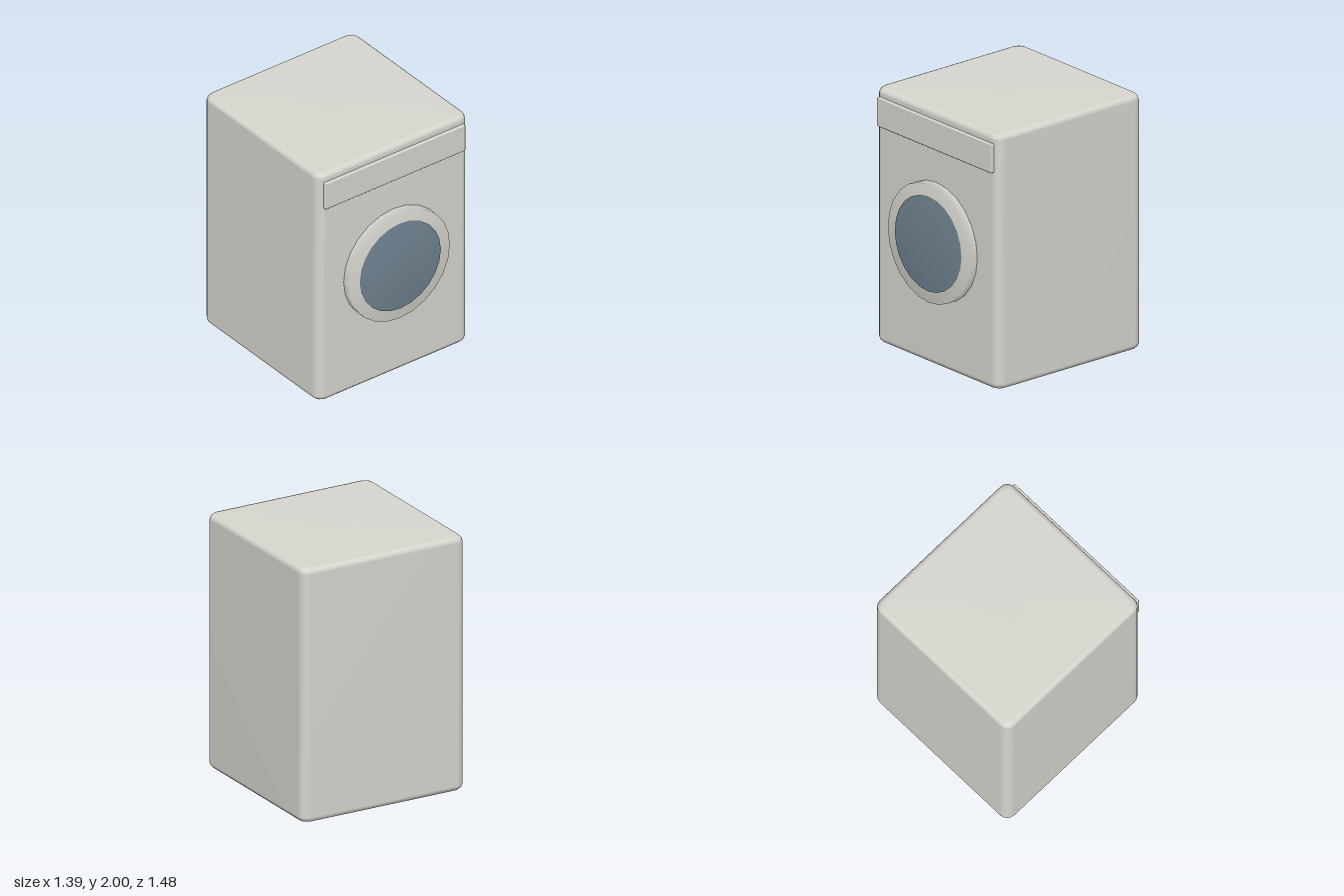
import * as THREE from 'three';
import { RoundedBoxGeometry } from 'three/addons/geometries/RoundedBoxGeometry.js';

const HALF = 0.697, BACK = -0.742, FRONT = 0.656, HEIGHT = 2;

// Rounded rectangle outline in the xz plane, inset from the full body size
function outline(inset, steps = 4) {
  const r = 0.075 - inset * 0.6, cz = (FRONT + BACK) / 2;
  const hx = HALF - inset - r, hz = (FRONT - BACK) / 2 - inset - r;
  const pts = [];
  [[1, 1], [-1, 1], [-1, -1], [1, -1]].forEach(([sx, sz], q) => {
    for (let i = 0; i <= steps; i++) {
      const a = (q + i / steps) * Math.PI / 2;
      pts.push([sx * hx + r * Math.cos(a), cz + sz * hz + r * Math.sin(a)]);
    }
  });
  return pts;
}

// Softly shaded cabinet: stacked outlines closed by fans at both ends
function cabinetGeometry() {
  const bevel = 0.045, levels = [];
  for (let i = 0; i <= 3; i++) {
    const a = i / 3 * Math.PI / 2;
    levels.push([bevel * (1 - Math.sin(a)), bevel * (1 - Math.cos(a))]);
  }
  const rings = [
    ...levels,
    ...levels.slice().reverse().map(([inset, y]) => [inset, HEIGHT - y]),
  ];
  const pos = [], index = [];
  let n = 0;
  for (const [inset, y] of rings) {
    const pts = outline(inset);
    n = pts.length;
    for (const [x, z] of pts) pos.push(x, y, z);
  }
  const bottom = rings.length * n, top = bottom + 1, last = (rings.length - 1) * n;
  const cz = (FRONT + BACK) / 2;
  pos.push(0, 0, cz, 0, HEIGHT, cz);
  for (let j = 0; j < n; j++) {
    const k = (j + 1) % n;
    for (let i = 0; i < rings.length - 1; i++) {
      const a = i * n + j, b = i * n + k, c = a + n, d = b + n;
      index.push(a, c, b, b, c, d);
    }
    index.push(bottom, j, k, top, last + k, last + j);
  }
  const geo = new THREE.BufferGeometry();
  geo.setAttribute('position', new THREE.Float32BufferAttribute(pos, 3));
  geo.setIndex(index);
  geo.computeVertexNormals();
  return geo;
}

// Round disc facing +z with a softly shaded rim
function disc(radius, z0, z1) {
  const profile = [[radius, z0], [radius, z1], [0, z1]].map(([x, y]) => new THREE.Vector2(x, y));
  return new THREE.LatheGeometry(profile, 24).rotateX(Math.PI / 2);
}

export function createModel() {
  const group = new THREE.Group();
  const enamel = new THREE.MeshStandardMaterial({ name: 'enamel', color: 0xd6d5ce });
  const glass = new THREE.MeshStandardMaterial({ name: 'doorGlass', color: 0x6f8290 });

  const add = (name, geometry, material, x = 0, y = 0, z = 0) => {
    const mesh = new THREE.Mesh(geometry, material);
    mesh.name = name;
    mesh.position.set(x, y, z);
    group.add(mesh);
  };

  add('cabinet', cabinetGeometry(), enamel);
  add('controlPanel', new RoundedBoxGeometry(1.294, 0.226, 0.05, 2, 0.008), enamel, 0, 1.818, 0.656);

  // Round door
  add('doorRim', disc(0.463, 0.64, 0.73), enamel, 0, 0.981, 0);
  add('doorWindow', disc(0.37, 0.7, 0.742), glass, 0, 0.981, 0);
  return group;
}
